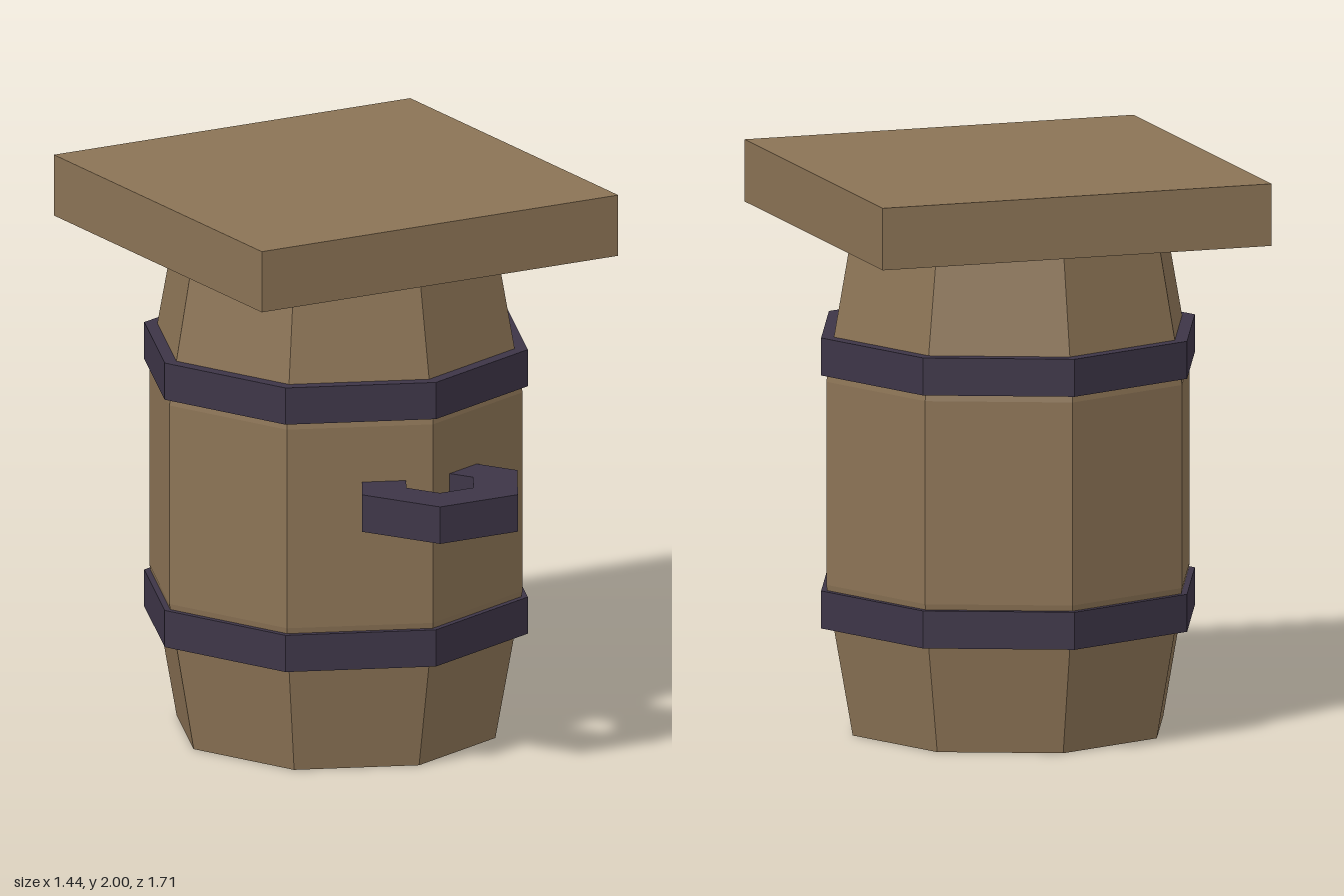
import * as THREE from 'three';

const wood = new THREE.MeshStandardMaterial({ color: 0x8b7355, flatShading: true });
const iron = new THREE.MeshStandardMaterial({ color: 0x3d3547, flatShading: true });

// Corner points of a regular polygon
function polygon(radius, sides) {
  return Array.from({ length: sides }, (_, i) => {
    const a = (i / sides) * Math.PI * 2;
    return new THREE.Vector2(Math.cos(a) * radius, Math.sin(a) * radius);
  });
}

export function createModel() {
  const group = new THREE.Group();
  const centreZ = -0.135;

  function add(name, geometry, material, y, z = centreZ) {
    const mesh = new THREE.Mesh(geometry, material);
    mesh.name = name;
    mesh.position.set(0, y, z);
    group.add(mesh);
    return mesh;
  }

  // Eight-sided barrel, widest around the middle
  const profile = [[0, 0], [0.575, 0], [0.673, 0.54], [0.673, 1.26], [0.575, 1.8], [0, 1.8]]
    .map(([r, y]) => new THREE.Vector2(r, y));
  add('barrelBody', new THREE.LatheGeometry(profile, 8), wood, 0);

  // Iron hoops
  [['lowerHoop', 0.453], ['upperHoop', 1.35]].forEach(([name, y]) =>
    add(name, new THREE.CylinderGeometry(0.692, 0.692, 0.133, 8), iron, y));

  // Square lid
  add('lid', new THREE.BoxGeometry(1.44, 0.22, 1.44), wood, 1.89);

  // Hexagonal ring handle, its back half sunk into the barrel
  const ring = new THREE.Shape(polygon(0.314, 6));
  ring.holes.push(new THREE.Path(polygon(0.135, 6)));
  const handleGeometry = new THREE.ExtrudeGeometry(ring, { depth: 0.134, bevelEnabled: false });
  handleGeometry.translate(0, 0, -0.067).rotateX(-Math.PI / 2);
  add('handle', handleGeometry, iron, 0.993, 0.583);

  return group;
}
